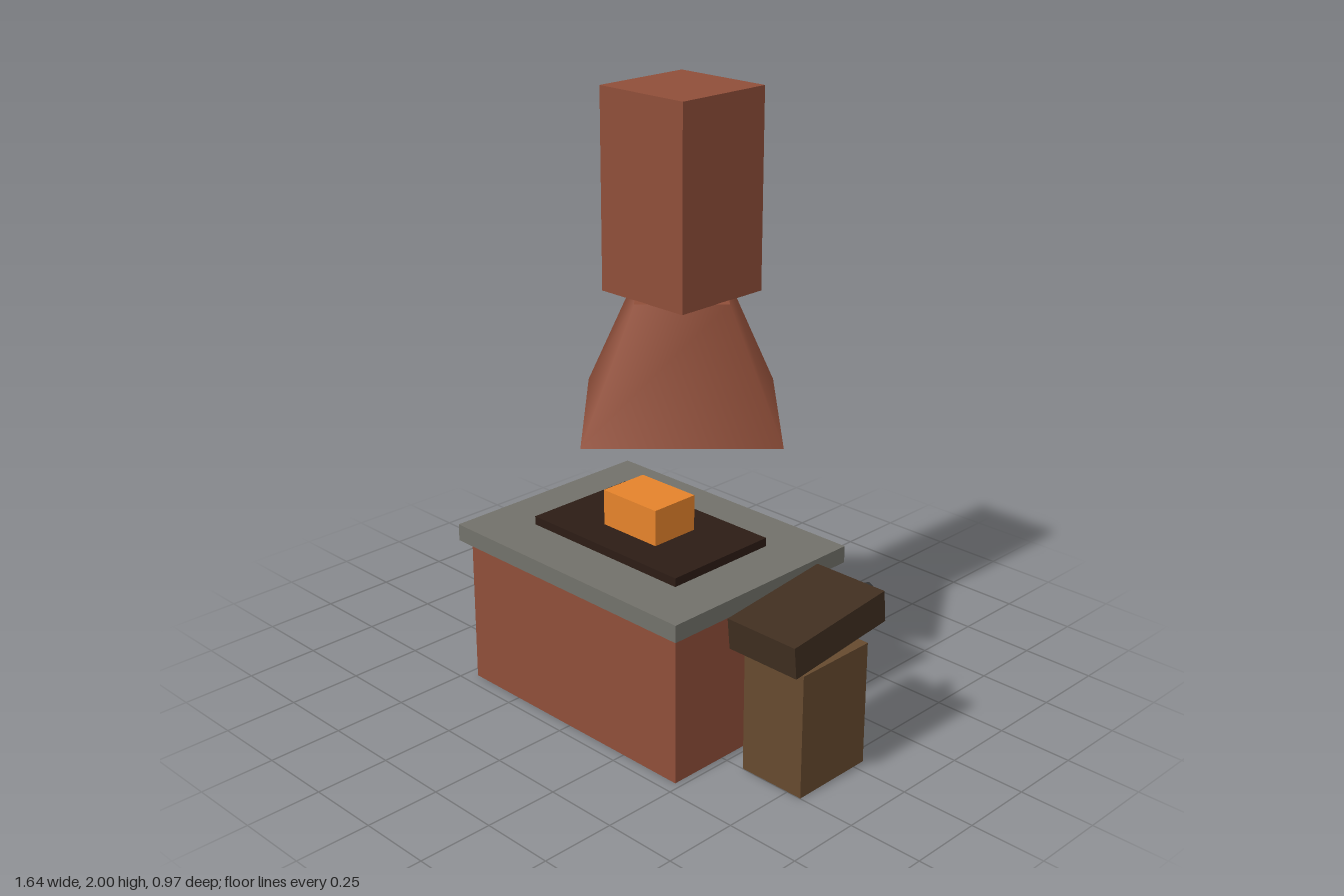
import * as THREE from 'three';

export function createModel() {
  const model = new THREE.Group();
  model.name = 'forge';

  const mat = (color) => new THREE.MeshStandardMaterial({ color });
  const brick = mat(0x8f4e39);
  const stone = mat(0x72716a);
  const ash = mat(0x2c1c15);
  const ember = mat(0xe5832b);
  const wood = mat(0x664a2f);
  const darkWood = mat(0x402f20);
  const iron = mat(0x333333);
  const bucketWood = mat(0x8d7452);

  const add = (name, geometry, material, x, y, z) => {
    const mesh = new THREE.Mesh(geometry, material);
    mesh.name = name;
    mesh.position.set(x, y, z);
    model.add(mesh);
    return mesh;
  };
  // Box standing on height y0
  const box = (name, material, w, h, d, x, y0, z) =>
    add(name, new THREE.BoxGeometry(w, h, d), material, x, y0 + h / 2, z);

  // Hearth
  box('hearthBase', brick, 0.94, 0.504, 0.705, 0.008, 0, 0.103);
  box('hearthSlab', stone, 1.0, 0.057, 0.765, 0.008, 0.503, 0.103);
  box('fireBed', ash, 0.645, 0.03, 0.41, 0.008, 0.559, 0.103);
  box('embers', ember, 0.235, 0.122, 0.175, 0.008, 0.588, 0.103);

  // Four-sided hood, corners on the axes, smooth shaded, with a square chimney
  add('hood', new THREE.CylinderGeometry(0.207, 0.439, 0.41, 4), brick, 0.008, 1.15, -0.044);
  box('chimney', brick, 0.352, 0.646, 0.352, 0.008, 1.354, -0.044);

  // Bellows tilted on a stand, nozzle to the back
  box('bellowsStand', wood, 0.235, 0.414, 0.294, 0.684, 0, 0.102);
  const bellows = box('bellows', darkWood, 0.265, 0.105, 0.408, 0.684, 0.451, 0.102);
  bellows.rotation.x = 0.1;
  const nozzle = add('bellowsNozzle', new THREE.CylinderGeometry(0.022, 0.022, 0.118, 8), iron, 0.682, 0.503, -0.132);
  nozzle.rotation.x = Math.PI / 2;

  // Tapered bucket
  const bucket = add('bucket', new THREE.CylinderGeometry(0.152, 0.128, 0.294, 10), bucketWood, -0.667, 0.147, 0.1);
  bucket.rotation.y = Math.PI / 2;

  return model;
}
